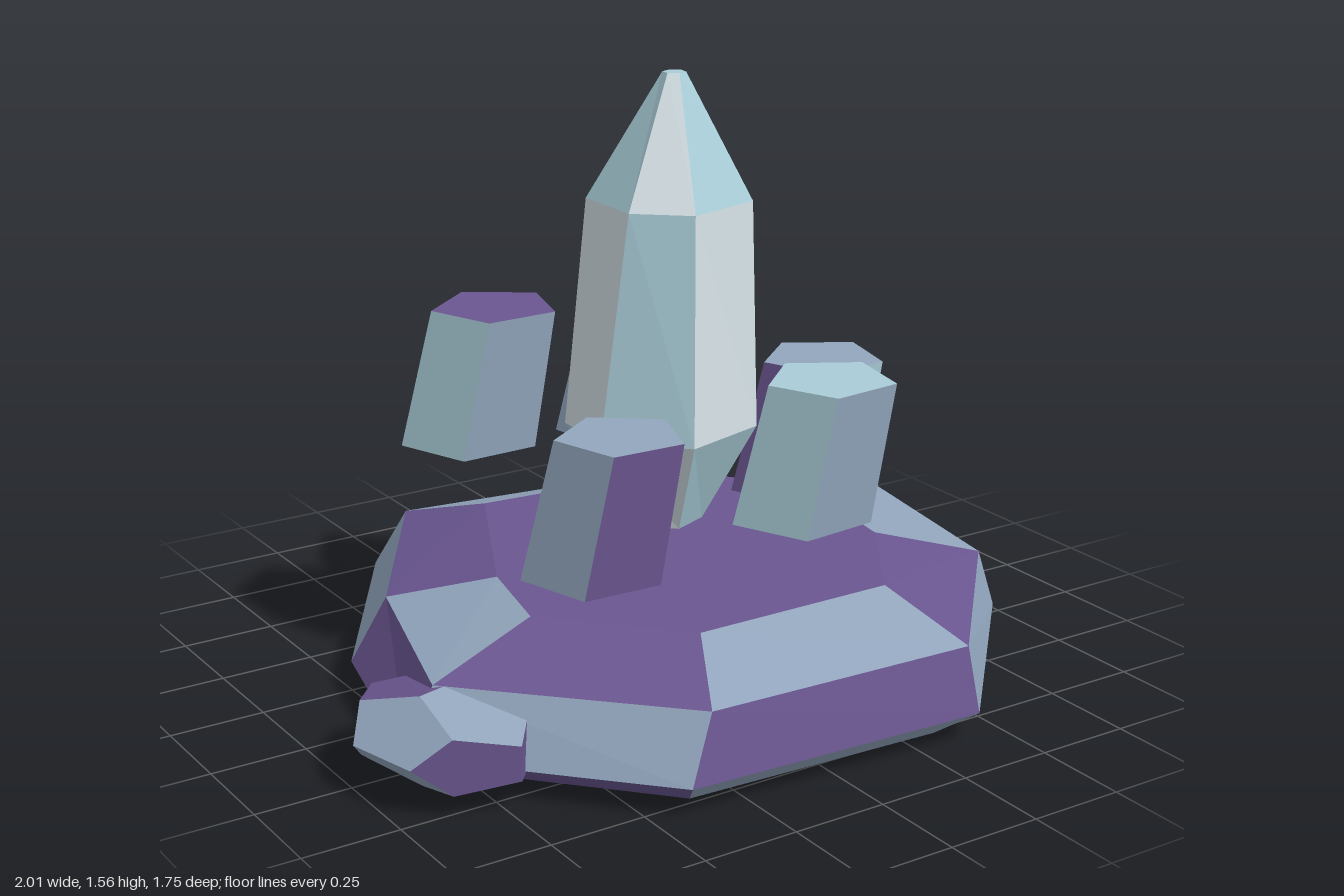
import * as THREE from 'three';

const PURPLE = 0x6a5690, SLATE = 0x92a6bd, PALE = 0xa9cdd8, MIST = 0xd3dfe4;

const faceted = (colors) => colors.map((color) => new THREE.MeshStandardMaterial({ color, flatShading: true }));

// Closed stack of rings ({y, pts: [x, z]...}), with facets cycling through the colours
function stack(name, rings, colors, capColor, shift = 0) {
  const pos = [];
  const geo = new THREE.BufferGeometry();
  const face = (material, ...pts) => {
    geo.addGroup(pos.length / 3, pts.length, material);
    pts.forEach((p) => pos.push(...p));
  };
  const loops = rings.map(({ y, pts }) => pts.map(([x, z]) => [x, y, z]));
  const n = loops[0].length;

  for (let r = 0; r < loops.length - 1; r++) {
    for (let i = 0; i < n; i++) {
      const j = (i + 1) % n;
      const a = loops[r][i], b = loops[r][j], c = loops[r + 1][j], d = loops[r + 1][i];
      face((i + r + shift) % colors.length, a, d, c, a, c, b);
    }
  }

  const cap = (loop, up) => {
    const mid = [0, 1, 2].map((k) => loop.reduce((s, p) => s + p[k], 0) / n);
    loop.forEach((p, i) => {
      const q = loop[(i + 1) % n];
      if (up) face(capColor, p, mid, q);
      else face(capColor, q, mid, p);
    });
  };
  cap(loops[0], false);
  cap(loops[loops.length - 1], true);

  geo.setAttribute('position', new THREE.Float32BufferAttribute(pos, 3));
  geo.computeVertexNormals();
  const mesh = new THREE.Mesh(geo, faceted(colors));
  mesh.name = name;
  return mesh;
}

// Regular ring of n corners
const ring = (y, n, cx, cz, r, phase) => ({
  y,
  pts: Array.from({ length: n }, (_, i) => {
    const a = THREE.MathUtils.degToRad(phase + (i * 360) / n);
    return [cx + r * Math.cos(a), cz + r * Math.sin(a)];
  }),
});

// Flattened twelve-sided stone
function rock(name, center, half, turn) {
  const geo = new THREE.DodecahedronGeometry(1 / 0.934);
  for (let f = 0; f < 12; f++) geo.addGroup(f * 9, 9, f % 2);
  geo.scale(...half);
  geo.rotateY(turn);
  const mesh = new THREE.Mesh(geo, faceted([SLATE, PURPLE]));
  mesh.name = name;
  mesh.position.set(...center);
  return mesh;
}

export function createModel() {
  const model = new THREE.Group();

  // Eight-sided rock slab, bevelled above and below
  const wide = [[-0.38, -0.84], [0.43, -0.72], [1.0, -0.28], [0.89, 0.35],
    [0.40, 0.87], [-0.42, 0.83], [-0.89, 0.33], [-0.75, -0.25]];
  const shoulder = [[-0.31, -0.78], [0.40, -0.69], [0.94, -0.25], [0.84, 0.34],
    [0.40, 0.82], [-0.34, 0.79], [-0.81, 0.31], [-0.65, -0.24]];
  const top = [[-0.20, -0.52], [0.37, -0.47], [0.63, -0.17], [0.56, 0.24],
    [0.35, 0.55], [-0.21, 0.55], [-0.50, 0.24], [-0.44, -0.03]];
  model.add(stack('rockBase', [
    { y: 0, pts: wide.map(([x, z]) => [x * 0.86, z * 0.88]) },
    { y: 0.08, pts: wide },
    { y: 0.24, pts: shoulder },
    { y: 0.32, pts: top },
  ], [SLATE, PURPLE], 1));

  // Stones set into the rim
  model.add(
    rock('backStone', [0.06, 0.125, -0.65], [0.27, 0.115, 0.23], 0.05),
    rock('rightStone', [-0.79, 0.125, 0.33], [0.2, 0.115, 0.26], 0.25),
    rock('leftStone', [0.88, 0.14, 0], [0.11, 0.08, 0.15], 0.05),
  );

  // Tall leaning six-sided crystal
  model.add(stack('mainCrystal', [
    ring(0.41, 6, 0.02, 0.03, 0.105, -82),
    { y: 0.66, pts: [[0.07, -0.15], [0.27, -0.04], [0.22, 0.17], [-0.02, 0.24], [-0.19, 0.07], [-0.18, -0.12]] },
    { y: 1.24, pts: [[0.10, -0.18], [0.27, -0.075], [0.235, 0.12], [0.02, 0.18], [-0.105, 0.07], [-0.10, -0.14]] },
    ring(1.56, 6, 0.095, -0.03, 0.03, -82),
  ], [PALE, MIST], 0));

  // Five short leaning prisms hovering around it: top x, top z, bottom y, corner phase, cap colour
  const prisms = [
    [-0.285, 0.315, 0.41, 56, 1],
    [0.22, 0.475, 0.51, 48, 2],
    [0.52, 0.045, 0.41, 50, 1],
    [0.225, -0.36, 0.51, 62, 2],
    [-0.325, -0.22, 0.615, 52, 0],
  ];
  prisms.forEach(([x, z, y, phase, capColor], i) => {
    model.add(stack(`smallCrystal${i + 1}`, [
      ring(y, 5, x - 0.06, z - 0.035, 0.18, phase),
      ring(y + 0.356, 5, x, z, 0.165, phase),
    ], [PURPLE, SLATE, PALE], capColor, i));
  });

  return model;
}
